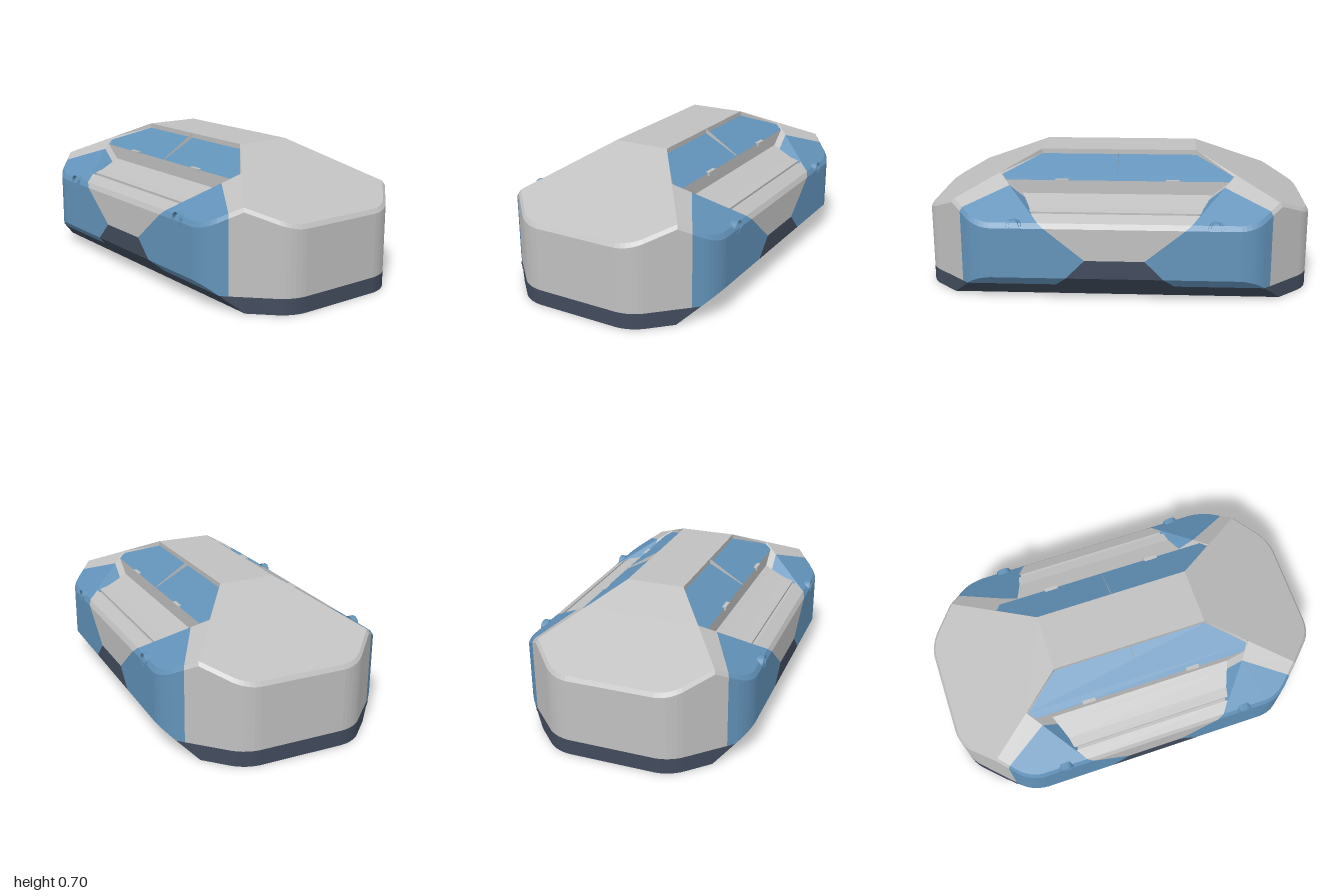
import * as THREE from 'three';

const mat = (name, color) => Object.assign(new THREE.MeshStandardMaterial({ color, side: THREE.DoubleSide }), { name });
const V = (x, y, z) => new THREE.Vector3(x, y, z);

// roof slopes, sides and ends
const SIDE = 0.29 / 0.45, END = 0.28 / 0.59;
const roofY = x => 0.7 - SIDE * (x - 0.15);
// slanted ends of the side bay, and the roof hips
const bayZ = y => 0.15 + (y - 0.23) * 1.233;
const hipZ = x => 0.41 + (SIDE / END) * (x - 0.15);
const endZ = (x, y) => Math.min(bayZ(y), hipZ(x));
// edge of the painted corner panels, in plan
const paintZ = x => 0.785 + 1.714 * (x - 0.51);

// plane keeping points with n.p <= d
const plane = (x, y, z, d, kind = '') => {
  const n = V(x, y, z), l = n.length();
  return { n: n.divideScalar(l), d: d / l, kind };
};
const clip = (poly, { n, d }, s = 1) => {
  const out = [];
  poly.forEach((a, i) => {
    const b = poly[(i + 1) % poly.length];
    const da = s * (n.dot(a) - d), db = s * (n.dot(b) - d);
    if (da <= 1e-7) out.push(a);
    if ((da < -1e-7 && db > 1e-7) || (da > 1e-7 && db < -1e-7)) out.push(a.clone().lerp(b, da / (da - db)));
  });
  return out.length > 2 ? out : [];
};

function polyMesh(name, polys, material) {
  const pts = [];
  for (const p of polys)
    for (let i = 1; i < p.length - 1; i++) pts.push(p[0], p[i], p[i + 1]);
  const g = new THREE.BufferGeometry().setFromPoints(pts);
  g.computeVertexNormals();
  const m = new THREE.Mesh(g, material);
  m.name = name;
  return m;
}

// convex body as an intersection of half-spaces
function bodyPlanes() {
  const walls = [], slopes = [], bevels = [];
  for (let i = 0; i < 48; i++) {
    const t = (i / 48) * Math.PI * 2, c = Math.cos(t), s = Math.sin(t);
    const [cx, cz] = Math.abs(c) >= Math.abs(s) - 1e-6 ? [0.4, 0.612] : [0.212, 0.8];
    walls.push(plane(c, 0, s, cx * Math.abs(c) + cz * Math.abs(s) + 0.2));
  }
  for (const k of [1, -1]) {
    slopes.push(plane(k * SIDE, 1, 0, 0.7 + SIDE * 0.15, 'side'));
    slopes.push(plane(0, 1, k * END, 0.7 + END * 0.41));
  }
  // soft edge between walls and slopes
  for (const w of walls) for (const s of slopes) {
    if (w.n.dot(s.n) < 0.2) continue;
    const n = w.n.clone().add(s.n), b = plane(n.x, n.y, n.z, w.d + s.d);
    b.d -= 0.008;
    bevels.push(b);
  }
  const chamfers = [1, -1].map(k => plane(k * 0.135, -0.145, 0, 0.135 * 0.455));
  return [...walls, ...slopes, ...bevels, ...chamfers, plane(0, 1, 0, 0.7), plane(0, -1, 0, 0)];
}

function bodyFaces() {
  const planes = bodyPlanes(), faces = [];
  for (const p of planes) {
    const u = V(0, 1, 0).cross(p.n);
    if (u.length() < 1e-3) u.set(1, 0, 0);
    u.normalize().multiplyScalar(4);
    const v = p.n.clone().cross(u), o = p.n.clone().multiplyScalar(p.d);
    let poly = [[-1, -1], [1, -1], [1, 1], [-1, 1]].map(([a, b]) => o.clone().addScaledVector(u, a).addScaledVector(v, b));
    for (const q of planes) if (q !== p && poly.length) poly = clip(poly, q);
    if (poly.length) faces.push({ poly, kind: p.kind });
  }
  return faces;
}

// colour boundaries on the body
function paintCuts() {
  const cuts = [plane(0, 1, 0, 0.08), plane(0, 1, 0, 0.23)];
  for (const k of [1, -1]) {
    cuts.push(plane(0, -1.233, k, 0.15 - 0.23 * 1.233), plane(0, 1, k, 0.38));
    for (const j of [1, -1]) cuts.push(plane(-1.714 * j, 0, k, 0.785 - 1.714 * 0.51));
  }
  return cuts;
}

function paintOf(c, kind) {
  const x = Math.abs(c.x), z = Math.abs(c.z);
  if (c.y < 0.08 || (c.y < 0.23 && z < 0.38 - c.y)) return 'dark';
  if (c.y > 0.23 && z < bayZ(c.y)) return kind === 'side' ? 'open' : 'grey';
  return z < paintZ(x) ? 'blue' : 'grey';
}

export function createModel() {
  const model = new THREE.Group();
  model.name = 'pod';
  const mats = {
    grey: mat('light grey', 0xc0c0c0),
    blue: mat('blue', 0x6292b9),
    dark: mat('dark slate', 0x424b5d),
  };

  // body shell, split by colour, with the bays left open
  let faces = bodyFaces();
  for (const cut of paintCuts())
    faces = faces.flatMap(f => [1, -1].map(s => ({ poly: clip(f.poly, cut, s), kind: f.kind })).filter(f => f.poly.length));
  const sets = { grey: [], blue: [], dark: [], open: [] };
  for (const f of faces) {
    const c = f.poly.reduce((a, p) => a.add(p), V(0, 0, 0)).divideScalar(f.poly.length);
    sets[paintOf(c, f.kind)].push(f.poly);
  }
  model.add(polyMesh('shell', sets.grey, mats.grey));
  model.add(polyMesh('cornerPanels', sets.blue, mats.blue));
  model.add(polyMesh('base', sets.dark, mats.dark));

  // bay profile from the ridge out to the rim
  const profile = [[0.15, 0.7], [0.15, 0.675], [0.2985, 0.595], [0.335, 0.575], [0.335, 0.505], [0.375, 0.492],
    [0.46, 0.465], [0.512, 0.456], [0.512, 0.444], [0.53, 0.444], [0.53, 0.452], [0.586, 0.419]];

  const addPart = (group, name, geo, material, x, y, z, ry = 0) => {
    const m = new THREE.Mesh(geo, material);
    m.name = name;
    m.position.set(x, y, z);
    m.rotation.y = ry;
    group.add(m);
  };

  for (const turn of [0, Math.PI]) {
    const side = new THREE.Group();
    side.name = turn ? 'rightBay' : 'leftBay';
    side.rotation.y = turn;

    const windowPolys = [], floor = [], greyEnds = [], blueEnds = [];
    for (let i = 0; i < profile.length - 1; i++) {
      const [ax, ay] = profile[i], [bx, by] = profile[i + 1];
      const za = endZ(ax, ay), zb = endZ(bx, by);
      (i === 1 || i === 2 ? windowPolys : floor).push([V(ax, ay, -za), V(ax, ay, za), V(bx, by, zb), V(bx, by, -zb)]);
      if (bx - ax < 1e-6) continue;
      // end walls between the floor and the roof slope
      for (const k of [1, -1]) {
        const p = (x, y) => V(x, y, k * endZ(x, y));
        const q = [p(ax, ay), p(ax, roofY(ax)), p(bx, roofY(bx)), p(bx, by)];
        (ax > 0.37 ? blueEnds : greyEnds).push(k > 0 ? q : q.reverse());
      }
    }
    side.add(polyMesh('roofWindow', windowPolys, mats.blue));
    side.add(polyMesh('bayFloor', floor, mats.grey));
    side.add(polyMesh('bayFrame', greyEnds, mats.grey));
    side.add(polyMesh('bayEndWalls', blueEnds, mats.blue));
    side.add(polyMesh('windowRib', [[V(0.15, 0.675, 0), V(0.335, 0.575, 0), V(0.335, 0.581, 0), V(0.15, 0.7, 0)]], mats.grey));

    for (const k of [1, -1]) {
      addPart(side, 'hinge', new THREE.BoxGeometry(0.02, 0.018, 0.07), mats.grey, 0.334, 0.572, k * 0.285);
      addPart(side, 'footTab', new THREE.BoxGeometry(0.075, 0.016, 0.01), mats.dark, 0.487, 0.072, k * 0.807, k * Math.PI / 4);
      // split round latch
      for (const h of [1, -1]) {
        const half = new THREE.CylinderGeometry(0.032, 0.032, 0.03, 12, 1, h > 0 ? -Math.PI / 2 : Math.PI / 2, Math.PI);
        half.rotateZ(Math.PI / 2);
        addPart(side, 'latch', half, mats.blue, 0.586, 0.405, k * 0.5 + h * 0.006);
      }
    }
    model.add(side);
  }
  return model;
}
